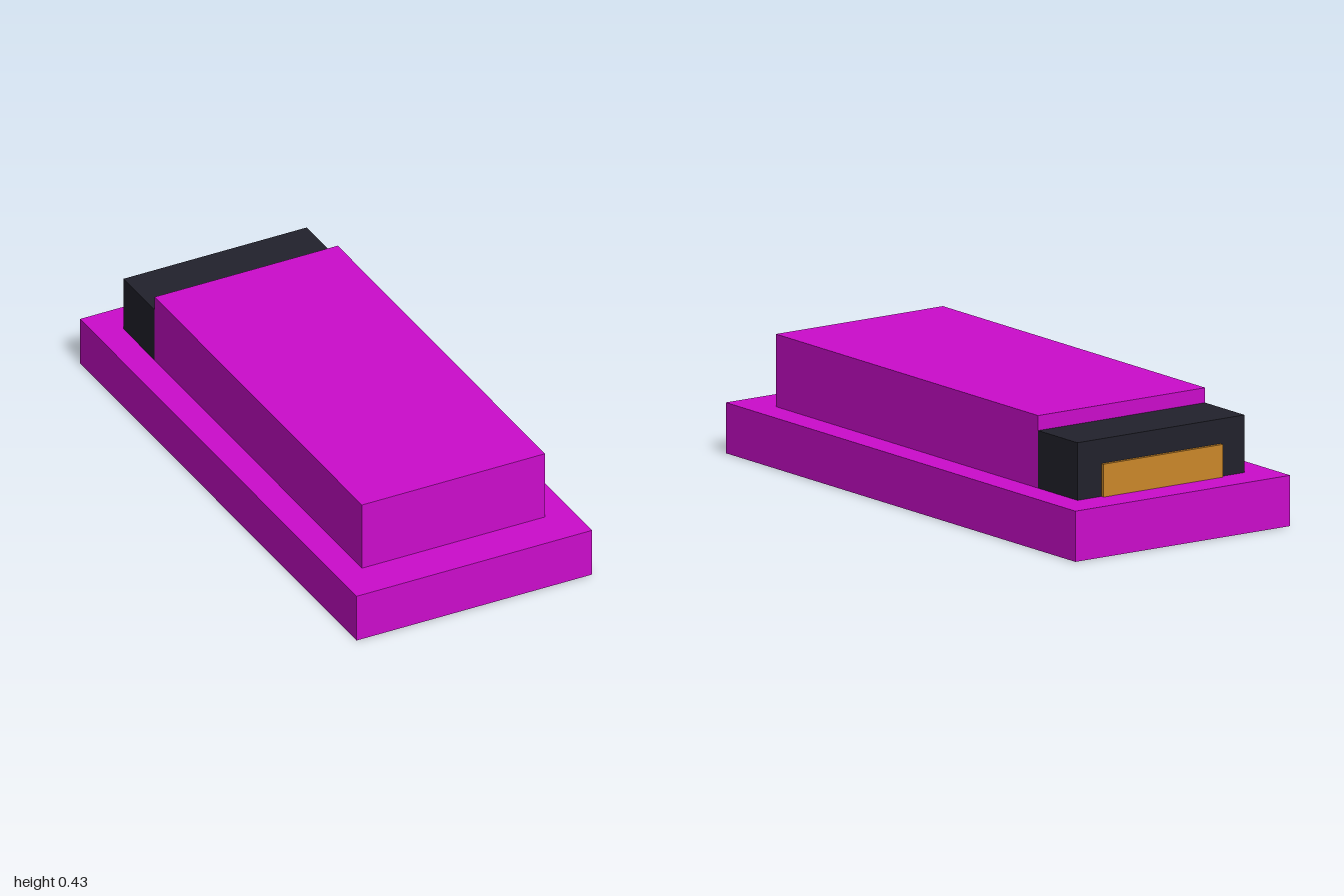
import * as THREE from 'three';

export function createModel() {
  const model = new THREE.Group();
  model.name = 'steppedBlock';

  const material = (name, color) => {
    const m = new THREE.MeshStandardMaterial({ color });
    m.name = name;
    return m;
  };
  const magenta = material('magenta', 0xcc0ccc);
  const charcoal = material('charcoal', 0x22222c);
  const amber = material('amber', 0xcc882a);

  // Box centred on x, given its width and its y and z extents
  const addBox = (name, mat, width, y0, y1, z0, z1) => {
    const mesh = new THREE.Mesh(new THREE.BoxGeometry(width, y1 - y0, z1 - z0), mat);
    mesh.position.set(0, (y0 + y1) / 2, (z0 + z1) / 2);
    mesh.name = name;
    model.add(mesh);
  };

  const deck = 0.176; // top of the base slab
  addBox('base', magenta, 0.9, 0, deck, -1, 1);
  addBox('upperBody', magenta, 0.7, deck, 0.428, -0.65, 0.85);
  addBox('rearBlock', charcoal, 0.7, deck, 0.376, -0.875, -0.65);
  addBox('rearPanel', amber, 0.5, deck, 0.29, -0.888, -0.875);

  return model;
}
